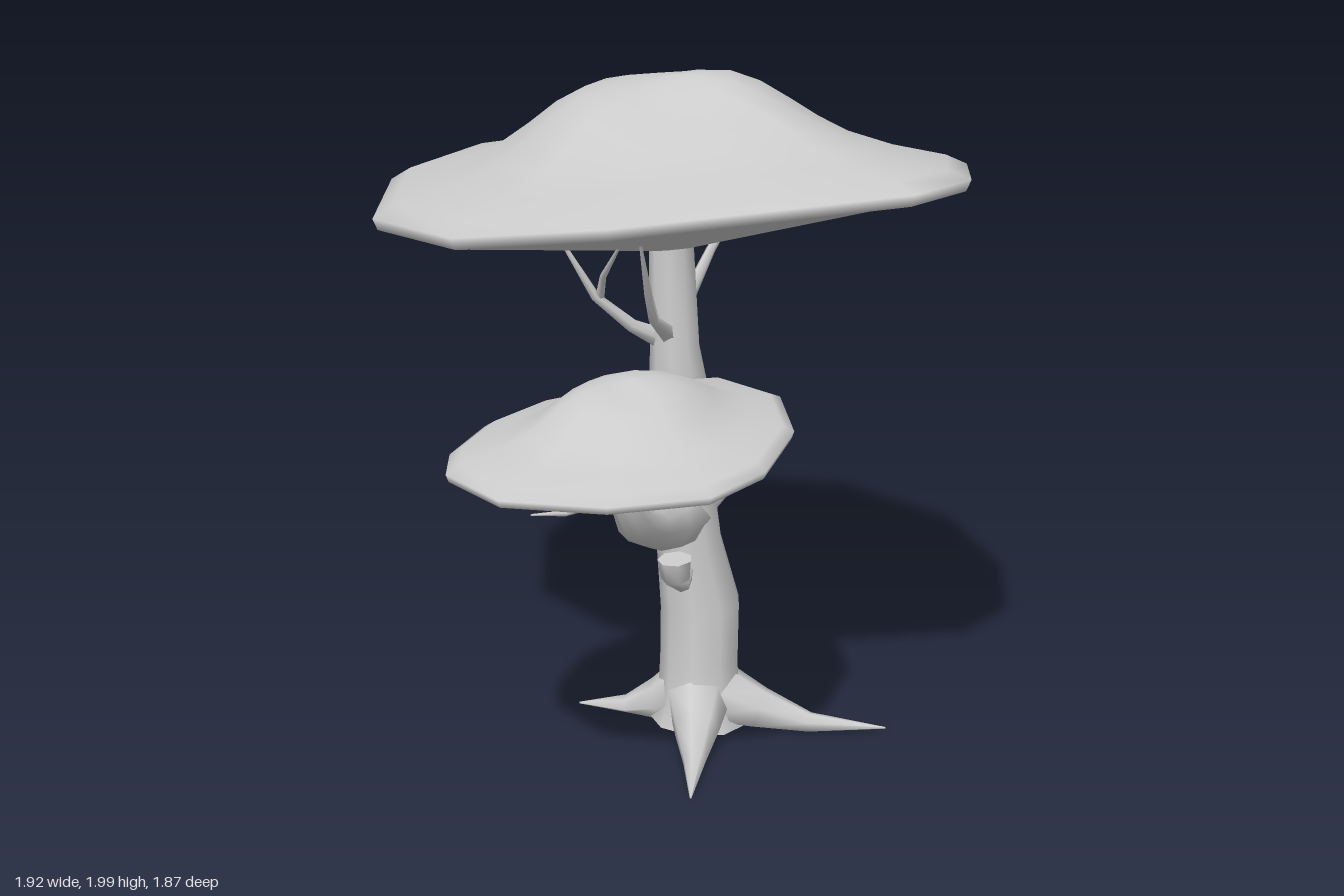
import * as THREE from 'three';

const V = (x, y, z) => new THREE.Vector3(x, y, z);
const material = new THREE.MeshStandardMaterial({ color: 0xcccccc, side: THREE.DoubleSide });

// Smooth skin over closed rings that all have the same number of points
function skin(rings) {
  const n = rings[0].length, index = [];
  for (let i = 0; i < rings.length - 1; i++) {
    for (let j = 0; j < n; j++) {
      const a = i * n + j, b = i * n + (j + 1) % n;
      index.push(a, b, a + n, b, b + n, a + n);
    }
  }
  const geometry = new THREE.BufferGeometry().setFromPoints(rings.flat());
  geometry.setIndex(index);
  geometry.computeVertexNormals();
  return geometry;
}

// Tapering limb through [x, y, z, radius] stations, kept above the ground
function limb(stations, sides) {
  const pts = stations.map(s => V(s[0], s[1], s[2]));
  const span = pts[pts.length - 1].clone().sub(pts[0]).toArray().map(Math.abs);
  const ref = V(0, 0, 0).setComponent(span.indexOf(Math.min(...span)), 1);
  const rings = pts.map((p, i) => {
    const t = pts[Math.min(i + 1, pts.length - 1)].clone().sub(pts[Math.max(i - 1, 0)]).normalize();
    const u = ref.clone().cross(t).normalize(), v = t.clone().cross(u);
    return Array.from({ length: sides }, (_, j) => {
      const a = j / sides * Math.PI * 2, r = stations[i][3];
      const q = p.clone().addScaledVector(u, r * Math.cos(a)).addScaledVector(v, r * Math.sin(a));
      q.y = Math.max(0, q.y);
      return q;
    });
  });
  // flat end caps on doubled rings
  const cap = (ring) => {
    const c = ring.reduce((s, q) => s.add(q), V(0, 0, 0)).divideScalar(sides);
    return ring.map(() => c.clone());
  };
  const copy = ring => ring.map(q => q.clone());
  const first = rings[0], last = rings[rings.length - 1];
  return skin([cap(first), copy(first), ...rings, copy(last), cap(last)]);
}

// Mushroom-like crown: outline, rim height rule, top and underside centres
function crown({ outline, rimY, top, under, lip, bump }) {
  const ring = (t, centre, heightOf) => outline.map(([x, z]) => {
    const px = centre.x + (x - centre.x) * t, pz = centre.z + (z - centre.z) * t;
    return V(px, heightOf(rimY(x, z), px, pz), pz);
  });
  const topProfile = [[0, 1], [0.1, 0.99], [0.2, 0.96], [0.3, 0.9], [0.4, 0.76], [0.5, 0.56],
    [0.6, 0.38], [0.75, 0.22], [0.93, 0.11], [1, 0]];
  const underProfile = [[0.985, 0.8], [0.93, 1]];
  return skin([
    ...topProfile.map(([t, h]) => ring(t, top, (r, x, z) => r + (top.y - r) * h + bump(x, z) * h)),
    ...underProfile.map(([t, d]) => ring(t, under, r => r - lip * d)),
    ...[0.6, 0.3, 0].map(t => ring(t, under, r => under.y + (r - lip - under.y) * t / 0.93)),
  ]);
}

const hill = (x, z, cx, cz, w) => Math.exp(-((x - cx) ** 2 + (z - cz) ** 2) / (w * w));

export function createModel() {
  const tree = new THREE.Group();
  tree.name = 'tree';
  const add = (name, geometry) => {
    const mesh = new THREE.Mesh(geometry, material);
    mesh.name = name;
    tree.add(mesh);
  };

  // Trunk
  add('trunk', limb([
    [0.06, 0, -0.14, 0.15], [0.06, 0.07, -0.145, 0.128], [0.055, 0.2, -0.15, 0.121],
    [0.045, 0.37, -0.165, 0.122], [0.025, 0.57, -0.135, 0.1], [0.015, 0.76, -0.12, 0.092],
    [0.012, 1.0, -0.105, 0.096], [0, 1.18, -0.095, 0.074], [-0.015, 1.5, -0.095, 0.066],
  ], 9));

  // Roots spreading over the ground
  for (const [x, y, z] of [[0.56, 0.02, -0.42], [-0.28, 0.004, 0.03], [0.38, 0.004, 0.28], [-0.08, 0.01, -0.4]]) {
    const at = (t, h, r) => [0.06 + (x - 0.06) * t, h, -0.14 + (z + 0.14) * t, r];
    add('root', limb([at(0.1, 0.09, 0.1), at(0.33, 0.045, 0.07), at(0.6, 0.012, 0.035), at(1, y, 0.003)], 7));
  }

  // Large side limb carrying the lower crown
  add('sideLimb', limb([
    [0.01, 0.67, -0.12, 0.1], [0.08, 0.69, 0.04, 0.08], [0.17, 0.745, 0.2, 0.055],
    [0.255, 0.83, 0.37, 0.052], [0.28, 0.92, 0.44, 0.042], [0.27, 1.05, 0.46, 0.034],
  ], 8));

  // Cut stub below the limb
  add('stub', limb([
    [0.05, 0.53, -0.1, 0.03], [0.085, 0.49, -0.02, 0.032], [0.09, 0.52, 0.005, 0.045], [0.09, 0.575, 0.01, 0.052],
  ], 7));

  // Bare back branch
  add('backBranch', limb([[0.02, 0.66, -0.14, 0.065], [0.015, 0.665, -0.22, 0.035],
    [-0.01, 0.69, -0.36, 0.024], [-0.04, 0.78, -0.5, 0.002]], 6));

  // Twigs under both crowns
  const twigs = [
    [[-0.01, 1.19, -0.12, 0.04], [-0.09, 1.3, -0.27, 0.022], [-0.12, 1.4, -0.4, 0.015], [-0.16, 1.56, -0.64, 0.004]],
    [[-0.01, 1.2, -0.08, 0.035], [-0.07, 1.26, 0.02, 0.02], [-0.11, 1.36, 0.13, 0.014], [-0.18, 1.56, 0.22, 0.004]],
    [[-0.11, 1.35, 0.11, 0.014], [-0.06, 1.43, 0.15, 0.01], [0.04, 1.54, 0.19, 0.004]],
    [[0, 1.22, -0.07, 0.03], [0.07, 1.31, 0.08, 0.016], [0.11, 1.4, 0.15, 0.012], [0.16, 1.57, 0.24, 0.004]],
    [[0.28, 0.95, 0.45, 0.025], [0.22, 0.92, 0.54, 0.012], [0.16, 0.95, 0.6, 0.009], [0.08, 0.99, 0.67, 0.003]],
    [[0.24, 0.925, 0.52, 0.012], [0.2, 0.91, 0.59, 0.009], [0.16, 0.92, 0.68, 0.003]],
    [[0.28, 0.92, 0.43, 0.02], [0.2, 0.97, 0.36, 0.011], [0.1, 1.05, 0.3, 0.004]],
  ];
  twigs.forEach(t => add('twig', limb(t, 5)));

  // Upper crown
  add('upperCrown', crown({
    outline: [[-0.29, -0.94], [0.27, -0.84], [0.72, -0.48], [0.96, -0.13], [0.96, 0.12], [0.72, 0.36],
      [0.38, 0.62], [-0.02, 0.77], [-0.43, 0.67], [-0.79, 0.27], [-0.965, -0.22], [-0.77, -0.67]],
    rimY: (x, z) => 1.71 + 0.095 * x - 0.09 * z * z,
    top: V(0, 1.965, -0.08), under: V(-0.01, 1.465, -0.1), lip: 0.04,
    bump: (x, z) => 0.04 * hill(x, z, 0.14, -0.14, 0.15) - 0.07 * hill(x, z, 0.18, 0.14, 0.16),
  }));

  // Lower crown
  add('lowerCrown', crown({
    outline: [[0.42, -0.05], [0.6, 0.12], [0.7, 0.37], [0.69, 0.58], [0.53, 0.79], [0.29, 0.93],
      [0.05, 0.88], [-0.06, 0.76], [-0.14, 0.55], [-0.13, 0.34], [0, 0.1], [0.2, -0.07]],
    rimY: (x, z) => 1.06 + 0.095 * Math.max(0, 0.75 - z) ** 1.5,
    top: V(0.26, 1.245, 0.38), under: V(0.28, 1.02, 0.45), lip: 0.025,
    bump: (x, z) => 0.01 * hill(x, z, 0.24, 0.34, 0.08) - 0.02 * hill(x, z, 0.34, 0.48, 0.08),
  }));

  return tree;
}
